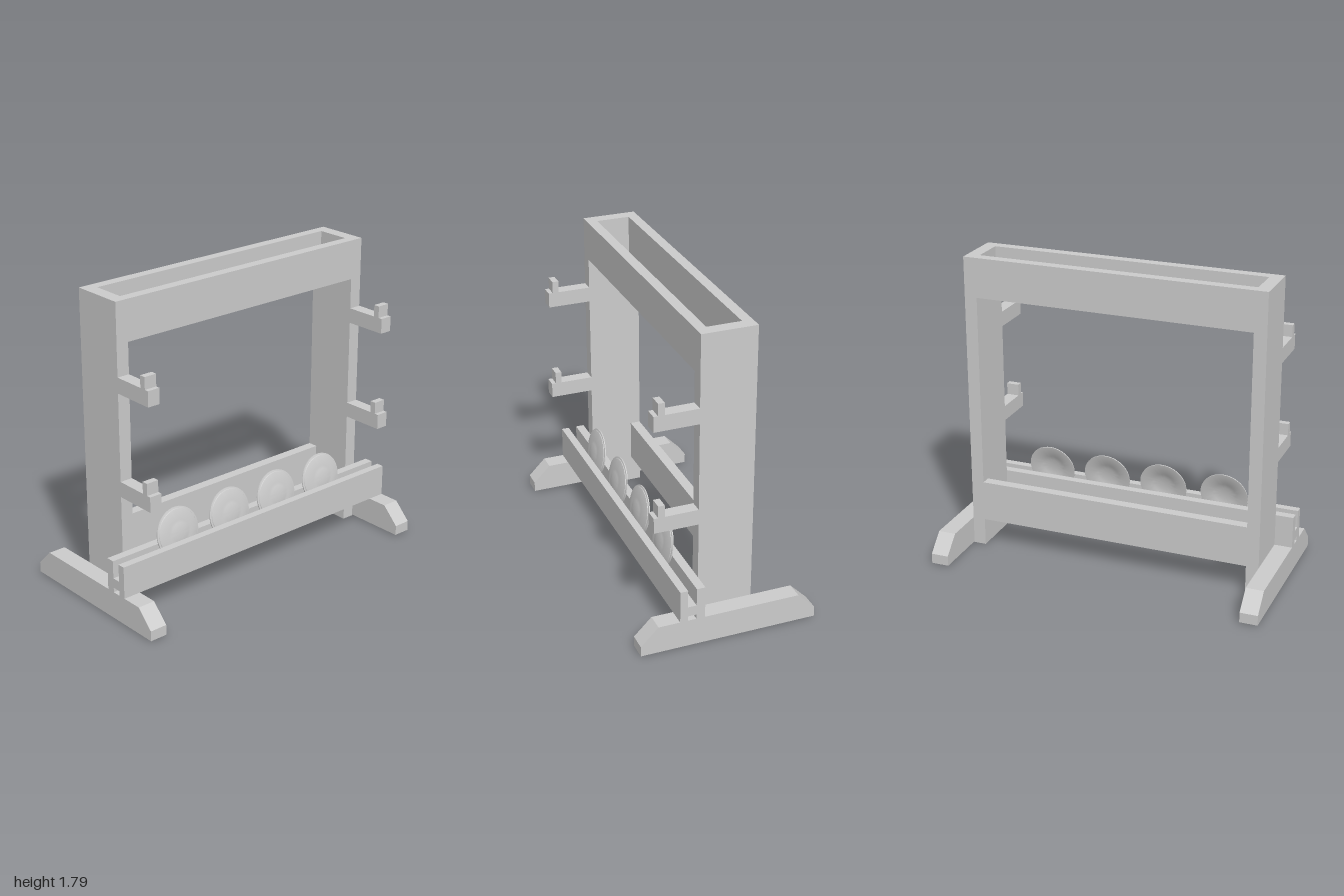
import * as THREE from 'three';
import { toCreasedNormals } from 'three/addons/utils/BufferGeometryUtils.js';

const material = new THREE.MeshStandardMaterial({ color: 0xcccccc });

// Box given by its limits on each axis
function block(name, [x0, x1], [y0, y1], [z0, z1]) {
  const mesh = new THREE.Mesh(new THREE.BoxGeometry(x1 - x0, y1 - y0, z1 - z0), material);
  mesh.name = name;
  mesh.position.set((x0 + x1) / 2, (y0 + y1) / 2, (z0 + z1) / 2);
  return mesh;
}

// Side profile in (z, y), extruded along x from x0 to x1
function sideProfile(name, points, x0, x1) {
  const shape = new THREE.Shape(points.map(([z, y]) => new THREE.Vector2(-z, y)));
  const geometry = new THREE.ExtrudeGeometry(shape, { depth: x1 - x0, bevelEnabled: false });
  geometry.rotateY(Math.PI / 2);
  geometry.translate(x0, 0, 0);
  const mesh = new THREE.Mesh(geometry, material);
  mesh.name = name;
  return mesh;
}

export function createModel() {
  const model = new THREE.Group();
  model.name = 'displayRack';
  const inner = 0.82, outer = 0.895;

  // Posts, feet and hooks on both sides
  for (const [side, s] of [['left', 1], ['right', -1]]) {
    const span = (a, b) => (s > 0 ? [a, b] : [-b, -a]);
    model.add(block(`${side}Post`, span(inner, outer), [0, 1.795], [-0.172, 0.145]));

    const foot = [[-0.517, 0.005], [-0.517, 0.065], [-0.415, 0.167],
      [0.415, 0.167], [0.517, 0.065], [0.517, 0.005]];
    model.add(sideProfile(`${side}Foot`, foot, ...span(outer, 1)));

    for (const [level, y] of [['Lower', 0.69], ['Upper', 1.29]]) {
      const hook = [[0.145, y], [0.4, y], [0.4, y + 0.09], [0.375, y + 0.09], [0.375, y + 0.16],
        [0.338, y + 0.16], [0.338, y + 0.09], [0.145, y + 0.09]];
      model.add(sideProfile(`${side}${level}Hook`, hook, ...span(inner, outer)));
    }
  }

  // Beams between the posts
  model.add(block('topFrontBeam', [-inner, inner], [1.56, 1.795], [0.085, 0.145]));
  model.add(block('topBackBeam', [-inner, inner], [1.56, 1.795], [-0.172, -0.112]));
  model.add(block('lowerBackBeam', [-inner, inner], [0.167, 0.41], [-0.172, -0.112]));

  // Slotted plate rail resting on the feet
  const rail = new THREE.Group();
  rail.name = 'plateRail';
  rail.add(block('railFrontBoard', [-1, 1], [0.167, 0.357], [0.245, 0.29]));
  rail.add(block('railBackBoard', [-1, 1], [0.167, 0.357], [0.145, 0.195]));
  rail.add(block('railSpacer', [-1, 1], [0.195, 0.253], [0.195, 0.245]));
  model.add(rail);

  // Thin round plates leaning back in the slot
  const profile = [
    [0, 0.018], [0.04, 0.016], [0.066, 0.011], [0.078, 0.006], [0.13, -0.004], [0.145, -0.005],
    [0.145, 0.001], [0.135, 0.003], [0.133, 0.006], [0.082, 0.02], [0.072, 0.019],
    [0.055, 0.023], [0.03, 0.026], [0, 0.027],
  ].map(([r, h]) => new THREE.Vector2(r, h));
  const plateGeometry = toCreasedNormals(new THREE.LatheGeometry(profile, 48), 0.5);
  [-0.56, -0.18, 0.18, 0.54].forEach((x, i) => {
    const plate = new THREE.Mesh(plateGeometry, material);
    plate.name = `plate${i + 1}`;
    plate.position.set(x, 0.397, 0.212);
    plate.rotation.x = Math.PI / 2 - 0.185;
    model.add(plate);
  });

  return model;
}
